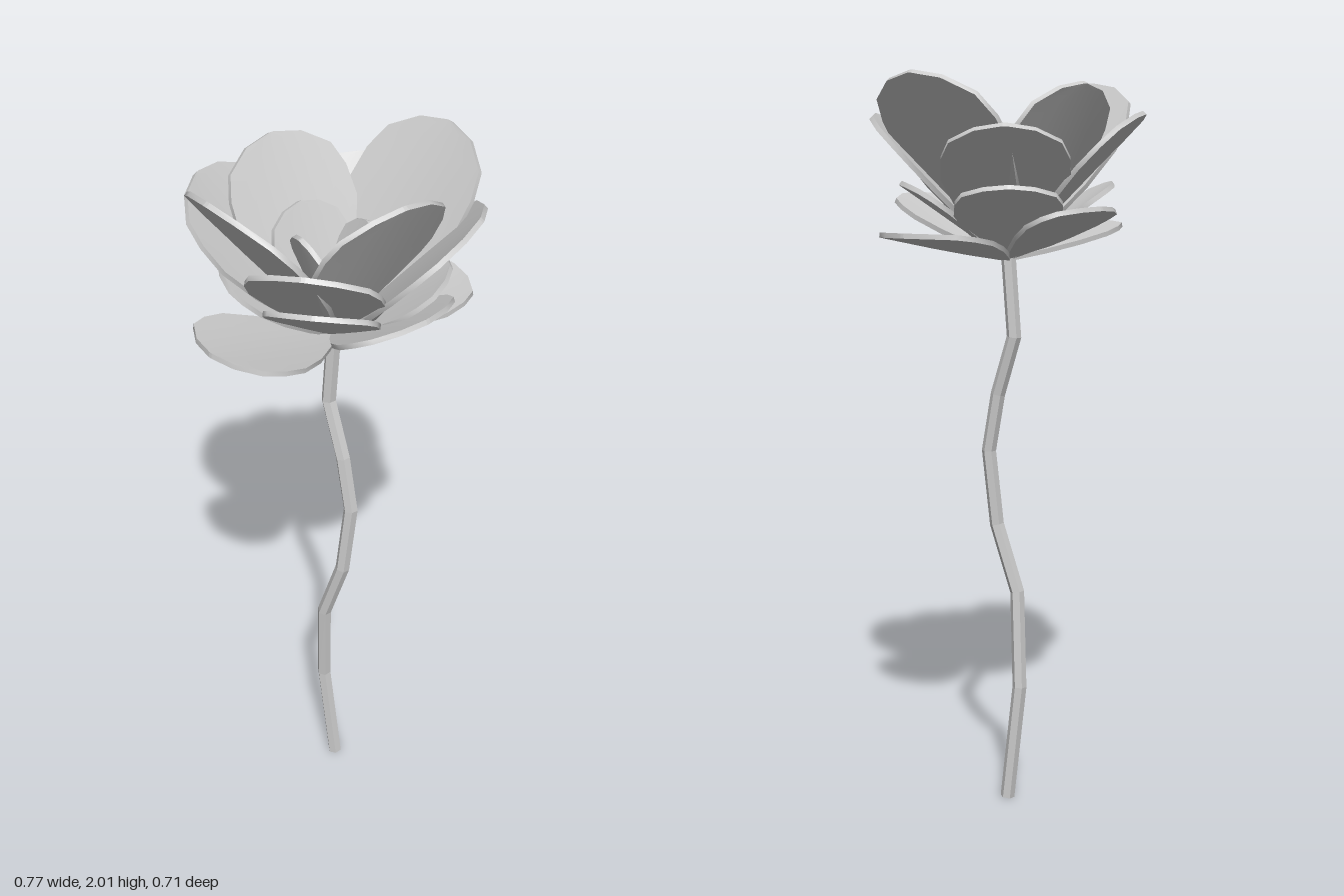
import * as THREE from 'three';

const material = new THREE.MeshStandardMaterial({ color: 0xcccccc });
const stemMaterial = new THREE.MeshStandardMaterial({ color: 0xcccccc, flatShading: true });
const BASE_Y = 1.53;

// Outline of every petal: distance along the petal and relative half width
const ROW_T = [0.01, 0.2, 0.4, 0.6, 0.75, 0.87, 0.965, 1];
const ROW_W = [0.08, 0.46, 0.79, 1, 0.98, 0.85, 0.46, 0.03];

// One almost flat petal, shaped from a thin slab. angle is in degrees from +x towards +z.
function petal(name, angle, reach, tipY, halfWidth, thickness = 0.013) {
  const rows = ROW_T.length - 1;
  const geo = new THREE.BoxGeometry(2, 1, 1, 4, rows, 1);
  const pos = geo.attributes.position;
  const rise = tipY - BASE_Y;
  const length = Math.hypot(reach, rise);
  const inR = -rise / length, inY = reach / length; // inward normal
  const cup = halfWidth * 0.06;
  for (let i = 0; i < pos.count; i++) {
    const u = pos.getX(i);
    const row = Math.round((pos.getY(i) + 0.5) * rows);
    const t = ROW_T[row], w = ROW_W[row];
    const offset = cup * u * u * w * w - pos.getZ(i) * thickness;
    pos.setXYZ(i,
      u * w * halfWidth,
      BASE_Y + rise * t + inY * offset,
      reach * t + inR * offset);
  }
  geo.computeVertexNormals();
  const mesh = new THREE.Mesh(geo, material);
  mesh.name = name;
  mesh.rotation.y = Math.PI / 2 - THREE.MathUtils.degToRad(angle);
  return mesh;
}

// Crooked stem with a ring of vertices at every bend
function stem() {
  const points = [
    [0, 0, 0], [-0.017, 0.33, -0.03], [-0.032, 0.6, -0.008], [-0.012, 0.79, 0.05],
    [0.004, 1.0, 0.065], [0, 1.16, 0.035], [-0.006, 1.32, -0.018], [0, 1.54, -0.003],
  ].map(p => new THREE.Vector3(...p));
  const curve = new THREE.CatmullRomCurve3(points);
  curve.getPointAt = curve.getPoint;
  curve.getTangentAt = curve.getTangent;
  const group = new THREE.Group();
  group.name = 'stem';
  const stalk = new THREE.Mesh(new THREE.TubeGeometry(curve, points.length - 1, 0.02, 6), stemMaterial);
  stalk.name = 'stalk';
  const end = new THREE.Mesh(new THREE.CircleGeometry(0.02, 6), stemMaterial);
  end.name = 'stalkEnd';
  end.rotation.x = Math.PI / 2;
  end.position.y = 0.002;
  group.add(stalk, end);
  return group;
}

export function createModel() {
  const model = new THREE.Group();
  model.name = 'flower';
  model.add(stem());

  // Layers from outside in: [angle, reach, tip height, half width]
  const layers = {
    sepal: [[2, 0.385, 1.6, 0.165], [178, 0.385, 1.62, 0.165],
      [84, 0.315, 1.7, 0.165], [264, 0.295, 1.665, 0.165]],
    lowerPetal: [[42, 0.285, 1.73, 0.14], [138, 0.285, 1.74, 0.14],
      [222, 0.285, 1.73, 0.14], [318, 0.285, 1.72, 0.14]],
    outerPetal: [[58, 0.362, 1.91, 0.2], [238, 0.362, 1.91, 0.2],
      [140, 0.34, 1.87, 0.165], [320, 0.34, 1.87, 0.165]],
    cupPetal: [[0, 0.363, 2, 0.2], [180, 0.363, 2, 0.2],
      [90, 0.258, 1.98, 0.18], [270, 0.258, 1.98, 0.18]],
    innerPetal: [[90, 0.143, 1.84, 0.115], [270, 0.143, 1.84, 0.115],
      [8, 0.095, 1.82, 0.085], [188, 0.095, 1.82, 0.085]],
    budPetal: [[45, 0.04, 1.73, 0.04], [150, 0.02, 1.7, 0.03],
      [225, 0.035, 1.73, 0.04], [310, 0.02, 1.7, 0.03]],
  };
  for (const [name, petals] of Object.entries(layers)) {
    const layer = new THREE.Group();
    layer.name = name + 's';
    for (const p of petals) layer.add(petal(name, ...p));
    model.add(layer);
  }
  return model;
}
